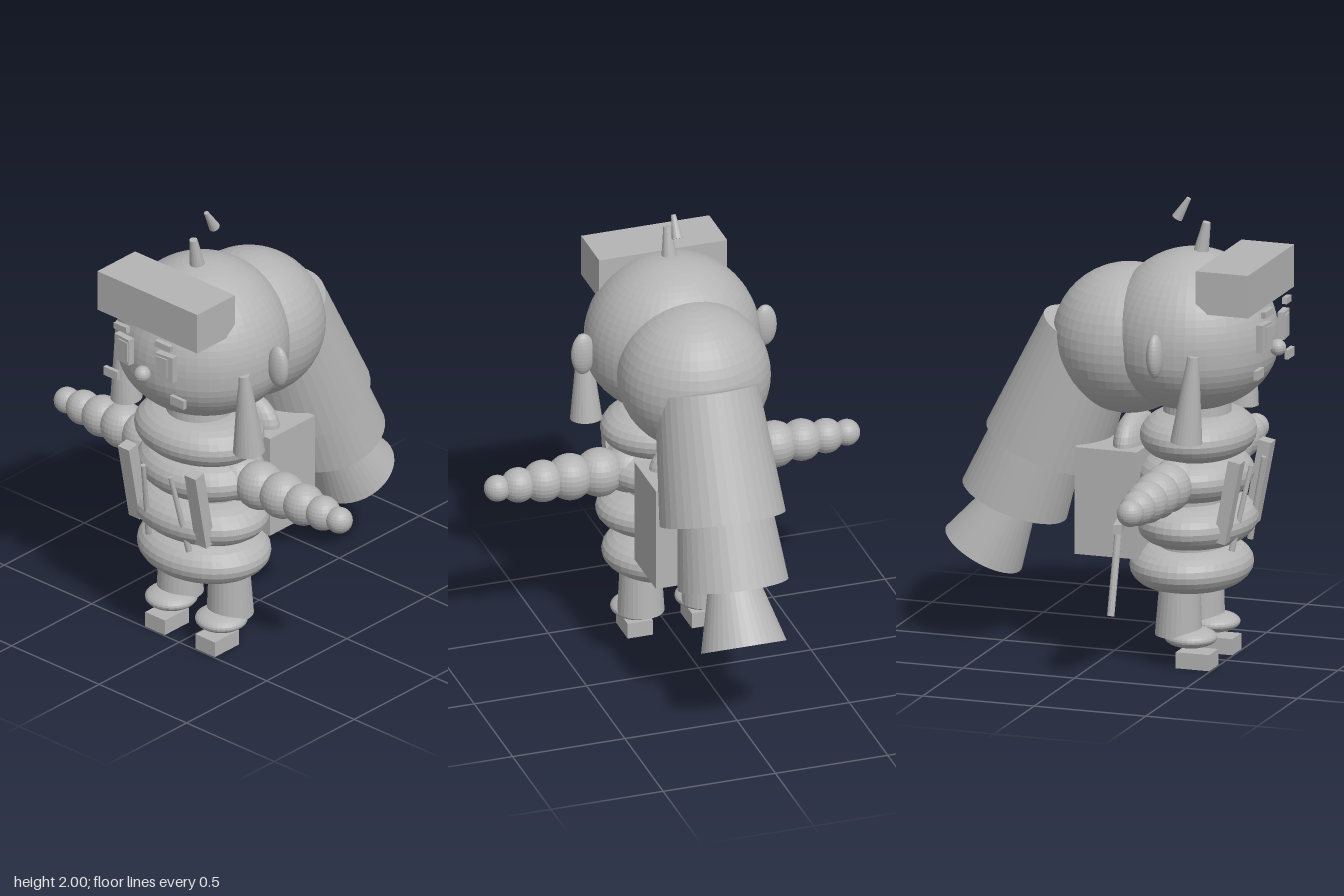
import * as THREE from 'three';

const grey = new THREE.MeshStandardMaterial({ color: 0xb4b4b4, flatShading: true });
grey.name = 'plain grey';

export function createModel() {
  const root = new THREE.Group();
  root.name = 'figure';

  const add = (name, geometry, x = 0, y = 0, z = 0) => {
    const mesh = new THREE.Mesh(geometry, grey);
    mesh.name = name;
    mesh.position.set(x, y, z);
    root.add(mesh);
    return mesh;
  };
  const ball = (name, x, y, z, rx, ry = rx, rz = rx, seg = 32) =>
    add(name, new THREE.SphereGeometry(1, seg, seg / 2).scale(rx, ry, rz), x, y, z);
  const box = (name, x, y, z, w, h, d) => add(name, new THREE.BoxGeometry(w, h, d), x, y, z);
  // Tapered cylinder running from point a (radius ra) to point b (radius rb)
  const taper = (name, a, b, ra, rb, seg = 32) => {
    const from = new THREE.Vector3(...a), to = new THREE.Vector3(...b);
    const dir = to.clone().sub(from);
    const mesh = add(name, new THREE.CylinderGeometry(rb, ra, dir.length(), seg));
    mesh.position.copy(from).add(to).multiplyScalar(0.5);
    mesh.quaternion.setFromUnitVectors(new THREE.Vector3(0, 1, 0), dir.normalize());
    return mesh;
  };

  // Head: rounded crown over a shallower jaw
  const cut = Math.PI / 2 + 0.09;
  add('crown', new THREE.SphereGeometry(0.375, 48, 20, 0, Math.PI * 2, 0, cut).scale(1, 1, 0.96), 0, 1.405, 0.35);
  add('jaw', new THREE.SphereGeometry(1, 48, 14, 0, Math.PI * 2, Math.PI / 2, Math.PI / 2)
    .scale(0.374, 0.28, 0.359), 0, 1.372, 0.35);
  box('visor', 0, 1.667, 0.582, 0.57, 0.185, 0.235);
  ball('nose', 0, 1.383, 0.73, 0.036, 0.036, 0.036, 20);

  // Antenna in two pieces
  taper('antennaBase', [0, 1.76, 0.385], [0, 1.9, 0.412], 0.034, 0.017, 16);
  taper('antennaTip', [0, 1.908, 0.28], [0, 1.997, 0.332], 0.024, 0.01, 16);

  // Hair: back bun and three-section tail
  ball('hairBun', 0, 1.37, 0.065, 0.325, 0.32, 0.325, 48);
  taper('hairTailUpper', [0, 1.383, -0.10], [0, 0.87, -0.31], 0.22, 0.268, 40);
  taper('hairTailMiddle', [0, 1.018, -0.30], [0, 0.625, -0.447], 0.19, 0.235, 40);
  taper('hairTailEnd', [0, 0.63, -0.455], [0, 0.395, -0.587], 0.11, 0.183, 40);

  // Padded torso rings around a core
  const rings = [
    [0.985, 0.375, 0.302, 0.098, 0.24],
    [0.81, 0.365, 0.295, 0.098, 0.24],
    [0.61, 0.37, 0.325, 0.098, 0.25],
    [0.415, 0.345, 0.305, 0.098, 0.257],
  ];
  for (const [y, z, rx, ry, rz] of rings) {
    const ring = new THREE.TorusGeometry(0.45, 0.55, 24, 40).rotateX(Math.PI / 2);
    add('torsoRing', ring.scale(rx, ry / 0.55, rz), 0, y, z);
  }
  add('torsoCore', new THREE.CylinderGeometry(0.2, 0.2, 0.62, 32).scale(1, 1, 0.75), 0, 0.7, 0.36);
  add('neck', new THREE.CylinderGeometry(0.14, 0.15, 0.15, 32), 0, 1.08, 0.37);

  // Backpack with a rounded bundle on top
  box('backpack', 0, 0.698, 0.04, 0.45, 0.465, 0.28);
  ball('bundle', 0, 0.92, 0.092, 0.19, 0.14, 0.075);

  // Staff with a crossbar at the right hip
  taper('staff', [-0.3, 0.23, 0.09], [-0.225, 0.61, 0.1], 0.016, 0.016, 12);
  const bar = box('staffCrossbar', -0.245, 0.62, 0.115, 0.2, 0.04, 0.035);
  bar.rotation.set(0, 0.2, 0);

  // Mirrored parts
  const arm = [
    [0.2, 0.105], [0.325, 0.105], [0.455, 0.1], [0.575, 0.09], [0.685, 0.075], [0.778, 0.057],
  ];
  for (const s of [-1, 1]) {
    ball('ear', s * 0.405, 1.405, 0.325, 0.052, 0.095, 0.034);
    taper('sideLock', [s * 0.35, 1.03, 0.447], [s * 0.35, 1.405, 0.478], 0.068, 0.024, 24);

    // Face details
    const eye = box('eyeFrame', s * 0.12, 1.455, 0.712, 0.09, 0.12, 0.03);
    const pane = box('eyePane', s * 0.11, 1.457, 0.728, 0.058, 0.09, 0.012);
    const brow = box('brow', s * 0.12, 1.562, 0.727, 0.08, 0.028, 0.022);
    eye.rotation.y = pane.rotation.y = brow.rotation.y = s * 0.1;
    brow.rotation.z = -s * 0.08;
    box('cheek', s * 0.19, 1.312, 0.714, 0.078, 0.04, 0.018);

    for (const [x, r] of arm) ball('armSegment', s * x, 0.815, 0.35, r, r, r, 28);

    // Chest straps and thin rods
    const strap = box('chestStrap', s * 0.19, 0.745, 0.58, 0.063, 0.365, 0.055);
    strap.rotation.x = 0.19;
    taper('chestRod', [s * 0.115, 0.51, 0.565], [s * 0.078, 0.88, 0.64], 0.014, 0.01, 12);

    // Legs and feet
    taper('leg', [s * 0.143, 0.135, 0.337], [s * 0.143, 0.4, 0.345], 0.1, 0.085, 28);
    ball('shoeCuff', s * 0.143, 0.128, 0.393, 0.112, 0.043, 0.112);
    box('foot', s * 0.143, 0.035, 0.42, 0.112, 0.07, 0.15);
  }
  return root;
}
